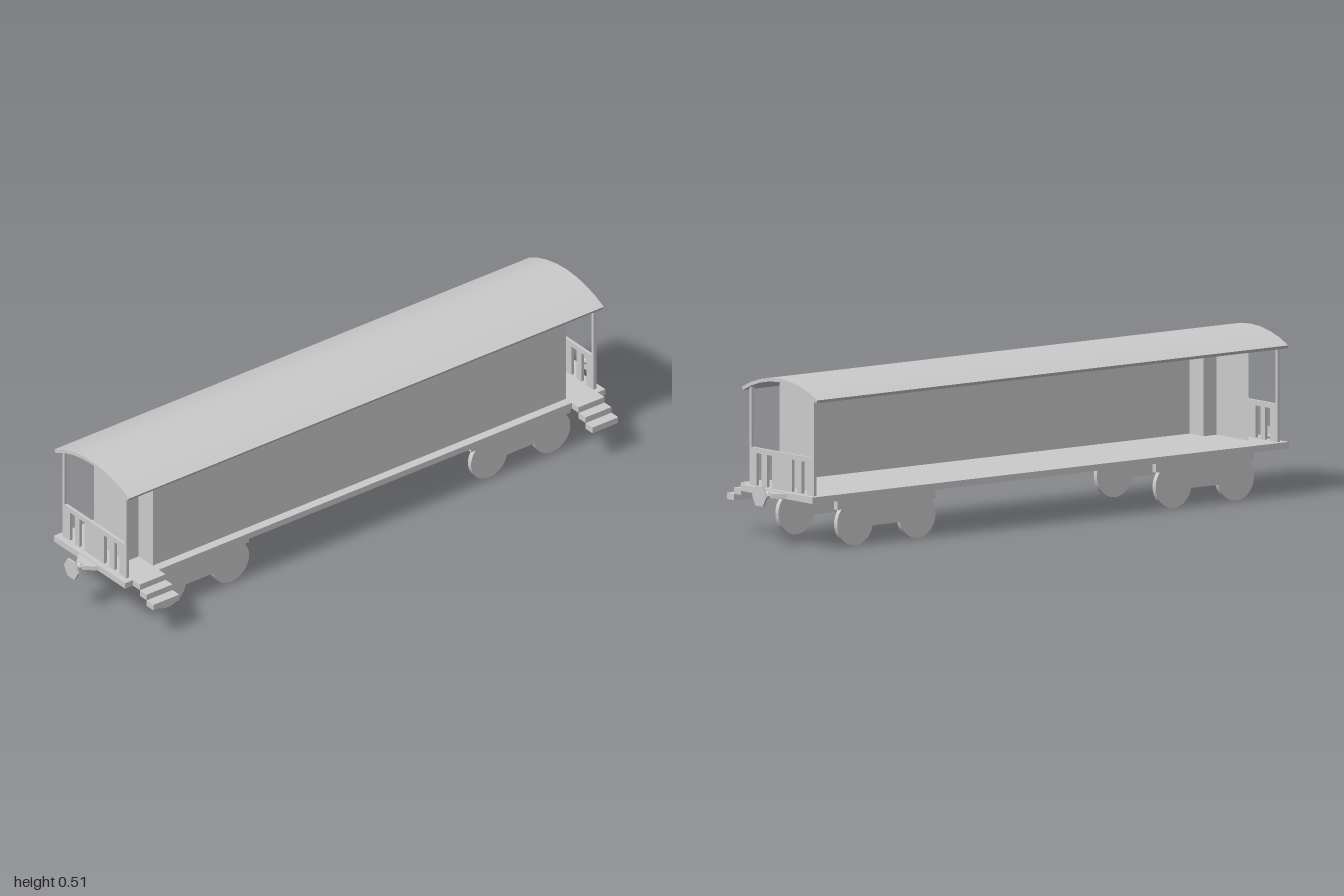
import * as THREE from 'three';
import { toCreasedNormals } from 'three/addons/utils/BufferGeometryUtils.js';

const MID = -0.05; // centre line of the carriage body
const ROOF_R = 0.395, ROOF_T = 0.011, ROOF_CY = 0.118;
const FLOOR_TOP = 0.167;
const roofUnder = (x) => ROOF_CY + Math.sqrt((ROOF_R - ROOF_T) ** 2 - (x - MID) ** 2);

export function createModel() {
  const model = new THREE.Group();
  const grey = new THREE.MeshStandardMaterial({ color: 0xcccccc });
  const thin = new THREE.MeshStandardMaterial({ color: 0xcccccc, side: THREE.DoubleSide });

  const add = (name, geometry, parent = model, material = grey) => {
    const mesh = new THREE.Mesh(geometry, material);
    mesh.name = name;
    parent.add(mesh);
    return mesh;
  };
  // Box given by its limits on each axis
  const box = (name, x0, x1, y0, y1, z0, z1, parent) => {
    const mesh = add(name, new THREE.BoxGeometry(x1 - x0, y1 - y0, z1 - z0), parent);
    mesh.position.set((x0 + x1) / 2, (y0 + y1) / 2, (z0 + z1) / 2);
    return mesh;
  };

  box('floor', -0.225, 0.13, 0.147, FLOOR_TOP, -0.93, 0.93);

  // Curved roof
  const arc = [];
  const half = 0.487, steps = 8;
  for (let i = 0; i <= steps; i++) arc.push(-half + (2 * half * i) / steps);
  const at = (r, a) => new THREE.Vector2(MID + r * Math.sin(a), ROOF_CY + r * Math.cos(a));
  const roofShape = new THREE.Shape([
    ...arc.map((a) => at(ROOF_R, a)),
    ...arc.slice().reverse().map((a) => at(ROOF_R - ROOF_T, a)),
  ]);
  const roof = new THREE.ExtrudeGeometry(roofShape, { depth: 1.84, bevelEnabled: false });
  roof.translate(0, 0, -0.92);
  add('roof', toCreasedNormals(roof, 0.5));

  // Thin cabin wall with stepped ends, open on the gallery side, reaching up to the roof
  const corners = [[-0.127, 0.85], [0.03, 0.85], [0.03, 0.8], [0.1, 0.8],
    [0.1, -0.8], [0.03, -0.8], [0.03, -0.85], [-0.127, -0.85]];
  const pos = [];
  for (let i = 0; i < corners.length - 1; i++) {
    const [a, b] = [corners[i], corners[i + 1]];
    const n = a[0] === b[0] ? 1 : 4;
    for (let k = 0; k < n; k++) {
      const [p, q] = [k / n, (k + 1) / n].map((t) => [a[0] + (b[0] - a[0]) * t, a[1] + (b[1] - a[1]) * t]);
      const [pt, qt] = [roofUnder(p[0]), roofUnder(q[0])];
      pos.push(p[0], FLOOR_TOP, p[1], q[0], FLOOR_TOP, q[1], q[0], qt, q[1]);
      pos.push(p[0], FLOOR_TOP, p[1], q[0], qt, q[1], p[0], pt, p[1]);
    }
  }
  const wall = new THREE.BufferGeometry();
  wall.setAttribute('position', new THREE.Float32BufferAttribute(pos, 3));
  wall.computeVertexNormals();
  add('cabinWall', wall, model, thin);

  // Railing panel with four upright openings
  const railShape = new THREE.Shape([[-0.197, FLOOR_TOP], [0.1, FLOOR_TOP], [0.1, 0.284], [-0.197, 0.284]]
    .map(([x, y]) => new THREE.Vector2(x, y)));
  for (const x of [-0.171, -0.123, 0.0, 0.05]) {
    railShape.holes.push(new THREE.Path([[x, 0.168], [x, 0.268], [x + 0.025, 0.268], [x + 0.025, 0.168]]
      .map(([u, v]) => new THREE.Vector2(u, v))));
  }
  const railing = new THREE.ExtrudeGeometry(railShape, { depth: 0.01, bevelEnabled: false });

  // Tapered drawbar base, seen in plan
  const baseShape = new THREE.Shape([[-0.05, 0], [0.05, 0], [0.018, 0.035], [-0.018, 0.035]]
    .map(([x, y]) => new THREE.Vector2(x, y)));
  const drawbarBase = new THREE.ExtrudeGeometry(baseShape, { depth: 0.014, bevelEnabled: false });
  drawbarBase.rotateX(Math.PI / 2);

  // Platform fittings at both ends
  for (const s of [1, -1]) {
    const end = new THREE.Group();
    end.name = s > 0 ? 'frontPlatform' : 'backPlatform';
    model.add(end);
    const [z0, z1] = s > 0 ? [0.9, 0.91] : [-0.91, -0.9];
    add('railing', railing, end).position.z = z0;
    box('post', -0.207, -0.197, FLOOR_TOP, 0.474, z0, z1, end);
    box('post', 0.1, 0.11, FLOOR_TOP, 0.472, z0, z1, end);

    // Boarding steps
    for (let i = 0; i < 3; i++) {
      const x = 0.13 + i * 0.034, y = 0.147 - i * 0.02;
      box('step', x, x + 0.034, y, y + 0.02, s * 0.85 - 0.05, s * 0.85 + 0.05, end);
    }

    // Coupler: base, shaft and six-sided buffer plate
    const coupler = new THREE.Group();
    coupler.name = 'coupler';
    coupler.position.set(MID, 0.157, s * 0.93);
    if (s < 0) coupler.rotation.y = Math.PI;
    end.add(coupler);
    add('drawbarBase', drawbarBase, coupler).position.y = 0.007;
    const profile = [[0, 0.03], [0.011, 0.032], [0.012, 0.038], [0.006, 0.045], [0.006, 0.058], [0.01, 0.064],
      [0.035, 0.064], [0.035, 0.07], [0, 0.07]].map(([r, z]) => new THREE.Vector2(r, z));
    const buffer = new THREE.LatheGeometry(profile, 6, Math.PI / 2);
    buffer.rotateX(Math.PI / 2);
    add('buffer', toCreasedNormals(buffer, 0.1), coupler);
  }

  // Bogie side: two wheels joined by a side frame, as one outline
  const R = 0.07, W = 0.122, deg = Math.PI / 180;
  const side = new THREE.Shape();
  side.moveTo(-0.192, 0.147);
  side.lineTo(-0.192, 0.115);
  side.absarc(-W, R, R, 140 * deg, 348 * deg, false);
  side.absarc(W, R, R, 192 * deg, 400 * deg, false);
  side.lineTo(0.192, 0.115);
  side.lineTo(0.192, 0.147);
  const bogie = new THREE.ExtrudeGeometry(side, { depth: 0.016, bevelEnabled: false, curveSegments: 20 });
  bogie.rotateY(Math.PI / 2);
  const bogieSide = toCreasedNormals(bogie, 0.5);
  for (const z of [0.622, -0.622]) {
    for (const x of [-0.2, 0.088]) add('bogieSide', bogieSide).position.set(x, 0, z);
  }
  return model;
}
